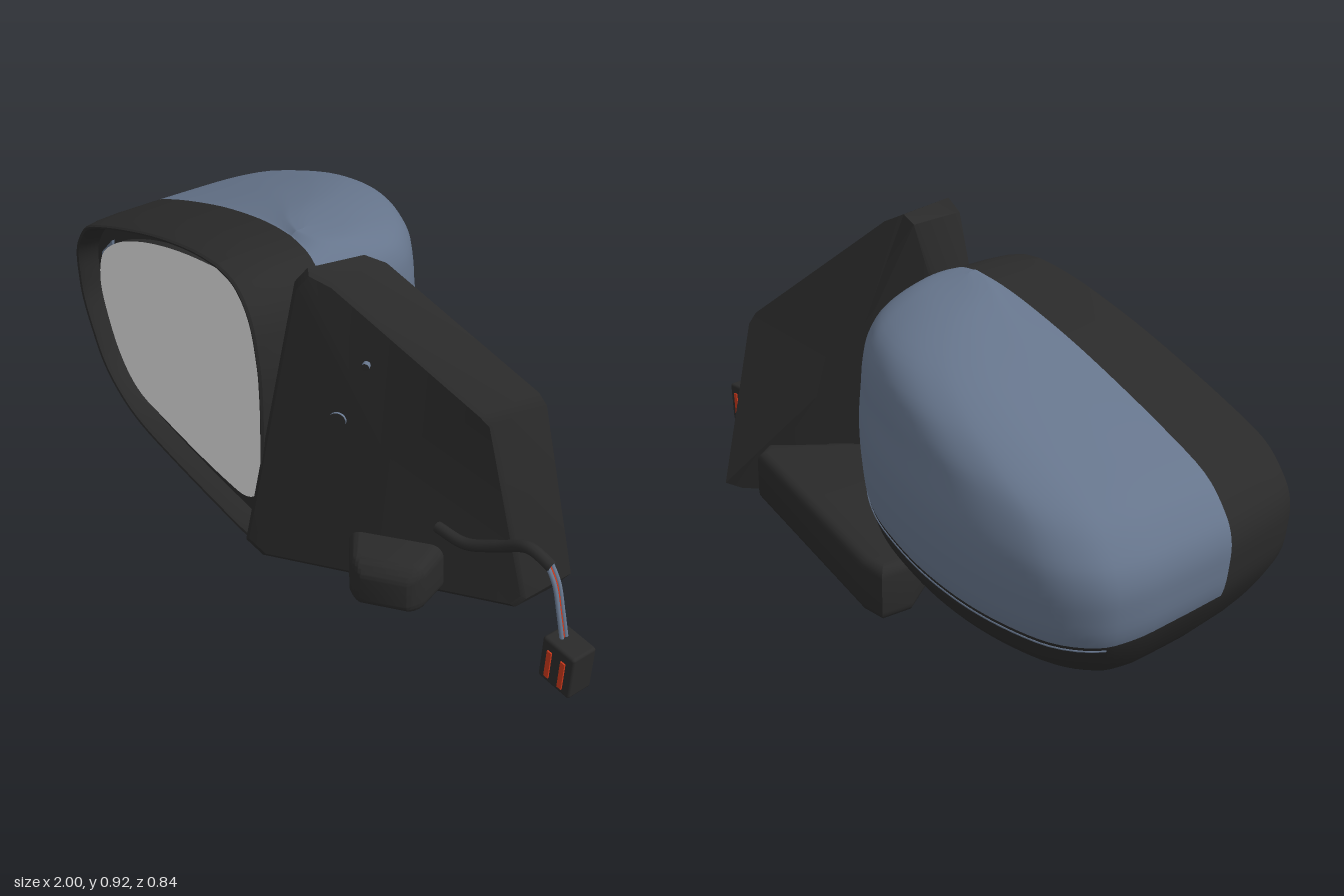
import * as THREE from 'three';
import { toCreasedNormals } from 'three/addons/utils/BufferGeometryUtils.js';
import { RoundedBoxGeometry } from 'three/addons/geometries/RoundedBoxGeometry.js';

const material = (name, color) => new THREE.MeshStandardMaterial({ name, color });
const V = (x, y, z) => new THREE.Vector3(x, y, z);

// Slanted planes of the mirror: front rim and the seam of the painted cover
const rimZ = (x) => 0.383 + 0.073 * x;
const seamZ = (x) => 0.166 + 0.106 * x;

// Housing heights: y, outer x, inner x, rearmost z
const KEYS = [
  [0.018, -0.2, -0.2, 0.25], [0.02, -0.42, 0.0, 0.2], [0.03, -0.62, 0.06, 0.12], [0.06, -0.75, 0.09, -0.02],
  [0.12, -0.86, 0.105, -0.2], [0.2, -0.925, 0.12, -0.335], [0.31, -0.985, 0.13, -0.4], [0.4, -1, 0.135, -0.42],
  [0.47, -0.998, 0.138, -0.425], [0.53, -0.97, 0.138, -0.42], [0.6, -0.9, 0.135, -0.4], [0.66, -0.76, 0.125, -0.375],
  [0.72, -0.59, 0.11, -0.33], [0.77, -0.43, 0.085, -0.25], [0.81, -0.27, 0.045, -0.1], [0.83, -0.16, 0, 0.05],
  [0.838, -0.07, -0.07, 0.12],
];
const SUB = 4;
const PAINT_ROW = 6 * SUB; // the cover starts at this height
const REAR = 48; // steps round the back

function smoothRows() {
  const rows = [];
  const key = (i) => KEYS[Math.min(Math.max(i, 0), KEYS.length - 1)];
  for (let i = 0; i < KEYS.length - 1; i++) {
    for (let s = 0; s < SUB; s++) {
      const t = s / SUB;
      rows.push(key(i).map((b, k) => {
        const a = key(i - 1)[k], c = key(i + 1)[k], d = key(i + 2)[k];
        return b + 0.5 * t * (c - a + t * (2 * a - 5 * b + 4 * c - d + t * (3 * (b - c) + d - a)));
      }));
    }
  }
  rows.push(KEYS[KEYS.length - 1]);
  return rows;
}

// Skin over rows of points; inSecond(i, j) sends a cell to the second material
function skin(rows, inSecond = () => false) {
  const n = rows[0].length, first = [], second = [];
  for (let i = 0; i < rows.length - 1; i++) {
    for (let j = 0; j < n - 1; j++) {
      const a = i * n + j, b = a + 1, c = a + n, d = c + 1;
      (inSecond(i, j) ? second : first).push(a, c, b, b, c, d);
    }
  }
  const g = new THREE.BufferGeometry().setFromPoints(rows.flat());
  g.setIndex([...first, ...second]);
  g.addGroup(0, first.length, 0);
  g.addGroup(first.length, second.length, 1);
  g.computeVertexNormals();
  return g;
}

// Scale the outline about the middle of the mirror; the top sits lower, below the cover
const MID = 0.42;
const lowerTop = (y, s) => MID + (y - MID) * (y > MID ? s : 1);
const inset = (x, y, s) => [-0.33 + (x + 0.33) * s, y > MID ? lowerTop(y, s - 0.025) : MID + (y - MID) * s];

export function createModel() {
  const dark = material('black plastic', 0x2a2a2a);
  const paint = material('blue grey paint', 0x66758c);
  const silver = material('mirror silver', 0xe2e2e3);
  const red = material('red clip', 0xc8371a);
  const model = new THREE.Group();
  const add = (name, geometry, mat, parent = model) => {
    const mesh = new THREE.Mesh(geometry, mat);
    mesh.name = name;
    parent.add(mesh);
    return mesh;
  };
  const tube = (points, r) => new THREE.TubeGeometry(new THREE.CatmullRomCurve3(points), 32, r, 10);

  // Housing: each height is a U from the outer rim round the back to the inner rim
  const rows = smoothRows();
  const back = new THREE.CatmullRomCurve3([
    [0, 0], [0.006, 0.35], [0.016, 0.63], [0.045, 0.81], [0.12, 0.94], [0.22, 0.99], [0.33, 1], [0.47, 0.965],
    [0.62, 0.885], [0.75, 0.785], [0.885, 0.61], [0.95, 0.41], [1, 0],
  ].map(([u, w]) => V(u, w, 0))).getPoints(REAR);
  const shell = rows.map(([y, xl, xr, zb]) => {
    const side = (x) => [[0.97, 0], [0.985, 0.04], [0.995, 0.11]].map(([s, d]) => {
      const [px, py] = inset(x, y, s);
      return V(px, py, rimZ(px) - d);
    });
    const rear = back.map((p) => {
      const x = xl + (xr - xl) * p.x;
      const bulge = 0.975 + 0.025 * Math.min(1, p.y / 0.4);
      return V(x, lowerTop(y, bulge), seamZ(x) - p.y * Math.max(seamZ(x) - zb, 0));
    });
    return [...side(xl), ...rear, ...side(xr).reverse()];
  });
  add('housing', skin(shell, (i, j) => i >= PAINT_ROW && j >= 3 && j < 3 + REAR), [dark, paint]);

  // Fine line along the lower edge of the cover
  const lineRow = shell[PAINT_ROW].map((p, j) => p.clone().lerp(shell[PAINT_ROW - 1][j], 0.5));
  add('coverLine', tube(lineRow.slice(14, 44), 0.003), paint);

  // Front frame with recessed floor
  const outline = [...rows.map((r) => [r[1], r[0]]), ...rows.map((r) => [r[2], r[0]]).reverse()];
  outline.push(outline[0]);
  const frame = [[0.97, 0], [0.96, 0.006], [0.945, 0.004], [0.932, -0.01], [0.92, -0.055], [0, -0.055]]
    .map(([s, d]) => outline.map(([x, y]) => {
      const [px, py] = s ? inset(x, y, s) : [-0.33, MID];
      return V(px, py, rimZ(px) + d);
    }));
  add('frame', toCreasedNormals(skin(frame), 0.6), dark);

  // Flat plates lying parallel to the rim
  const rimPlate = (points, depth, z) => {
    const g = new THREE.ExtrudeGeometry(new THREE.Shape(points), { depth, bevelEnabled: false });
    const p = g.attributes.position;
    for (let i = 0; i < p.count; i++) p.setZ(i, p.getZ(i) + rimZ(p.getX(i)) + z);
    g.computeVertexNormals();
    return g;
  };
  const glass = new THREE.CatmullRomCurve3([
    [-0.88, 0.4], [-0.85, 0.3], [-0.78, 0.19], [-0.68, 0.125], [-0.5, 0.11], [-0.15, 0.11], [-0.03, 0.125],
    [0.03, 0.17], [0.06, 0.3], [0.075, 0.5], [0.072, 0.7], [0.04, 0.765], [-0.05, 0.78], [-0.2, 0.76],
    [-0.4, 0.715], [-0.6, 0.65], [-0.75, 0.58], [-0.85, 0.5],
  ].map(([x, y]) => V(x, y, 0)), true).getPoints(90).slice(0, -1).map((p) => new THREE.Vector2(p.x, p.y));
  add('mirrorGlass', rimPlate(glass, 0.025, -0.05), [silver, dark]);
  const sliver = [[-0.915, 0.34], [-0.875, 0.34], [-0.885, 0.42], [-0.86, 0.49], [-0.81, 0.54], [-0.81, 0.56],
    [-0.89, 0.49], [-0.915, 0.42]].map(([x, y]) => new THREE.Vector2(x, y));
  add('indicatorStrip', rimPlate(sliver, 0.008, -0.052), paint);

  // Triangular mounting plate: back edge, front edge, bevelled face
  const backEdge = [V(0.075, 0.04, 0.37), V(0.215, 0.88, 0.18), V(0.245, 0.905, 0.17), V(0.28, 0.885, 0.13),
    V(0.585, 0.585, -0.1), V(0.6, 0.55, -0.115), V(0.66, 0.03, -0.19), V(0.645, 0, -0.14), V(0.1, 0.012, 0.34)];
  const frontEdge = [V(0.06, 0.06, 0.425), V(0.22, 0.88, 0.36), V(0.245, 0.92, 0.34), V(0.28, 0.89, 0.3),
    V(0.585, 0.59, 0.08), V(0.6, 0.56, 0.06), V(0.668, 0.03, -0.02), V(0.65, 0.002, 0.0), V(0.1, 0.02, 0.4)];
  const middle = (loop) => loop.reduce((s, p) => s.add(p), V(0, 0, 0)).divideScalar(loop.length);
  const shrink = (loop, s) => loop.map((p) => p.clone().lerp(middle(loop), s));
  const lift = V(0.006, 0, 0.009);
  const plateLoops = [shrink(backEdge, 1), backEdge, frontEdge.map((p) => p.clone().sub(lift)),
    shrink(frontEdge, 0.035), shrink(frontEdge, 1)].map((l) => [...l, l[0]]);
  add('mountingPlate', toCreasedNormals(skin(plateLoops), 0.5), dark);

  // Foot arm reaching under the housing
  const foot = new THREE.Shape([[-0.22, 0.312], [-0.17, 0.315], [0.47, 0.165], [0.49, 0.13], [0.14, -0.28],
    [0.04, -0.24], [-0.23, 0.25]].map(([x, y]) => new THREE.Vector2(x, y)));
  const footGeo = new THREE.ExtrudeGeometry(foot, {
    depth: 0.1, bevelThickness: 0.03, bevelSize: 0.027, bevelSegments: 4,
  });
  footGeo.rotateX(-Math.PI / 2).translate(0, 0.07, 0);
  add('footArm', toCreasedNormals(footGeo, 0.6), dark);

  // Pivot neck between housing and plate
  add('pivotNeck', new RoundedBoxGeometry(0.15, 0.46, 0.27, 5, 0.06), dark).position.set(0.175, 0.37, 0.165);

  // Motor cover on the plate, tapering outward
  const YAW = 0.62;
  const bumpGeo = new RoundedBoxGeometry(0.3, 0.165, 0.24, 6, 0.04);
  const bp = bumpGeo.attributes.position;
  for (let i = 0; i < bp.count; i++) {
    const t = Math.max(0, bp.getZ(i) / 0.12);
    bp.setX(i, bp.getX(i) * (1 - 0.5 * t));
    bp.setY(i, bp.getY(i) * (1 - 0.25 * t) - 0.015 * t);
  }
  bumpGeo.computeVertexNormals();
  const bump = add('motorCover', toCreasedNormals(bumpGeo, 0.8), dark);
  bump.position.set(0.4, 0.097, 0.187);
  bump.rotation.y = YAW;

  // Fixing sockets standing slightly proud of the plate
  for (const [x, y, z, r] of [[0.3, 0.51, 0.3, 0.022], [0.365, 0.68, 0.265, 0.01]]) {
    const sleeve = new THREE.CylinderGeometry(r, r, 0.05, 20).rotateX(Math.PI / 2).translate(0, 0, -0.035);
    const socket = add('fixingSocket', sleeve, [paint, dark, dark]);
    socket.position.set(x, y, z);
    socket.rotation.y = YAW;
  }

  // Cable sheath and thin wires
  add('cableSheath', tube([V(0.54, 0.28, 0.172), V(0.63, 0.28, 0.162), V(0.72, 0.315, 0.135),
    V(0.8, 0.352, 0.118), V(0.865, 0.33, 0.105)], 0.015), dark);
  [[-0.007, paint, 0.0055], [0, red, 0.003], [0.007, paint, 0.0055]].forEach(([o, mat, r]) => {
    add('wire', tube([V(0.855, 0.338, 0.107 + o), V(0.885, 0.295, 0.107 + o), V(0.91, 0.23, 0.112 + o),
      V(0.93, 0.16, 0.114 + o)], r), mat);
  });

  // Plug with red clips front and back
  const plug = new THREE.Group();
  plug.name = 'plug';
  plug.position.set(0.944, 0.105, 0.114);
  plug.rotation.z = -0.06;
  add('plugBody', new RoundedBoxGeometry(0.102, 0.125, 0.076, 2, 0.008), dark, plug);
  for (const x of [-0.022, 0.022]) {
    for (const z of [-0.038, 0.038]) {
      add('plugClip', new THREE.BoxGeometry(0.014, 0.08, 0.008), red, plug).position.set(x, -0.005, z);
    }
  }
  model.add(plug);
  return model;
}
